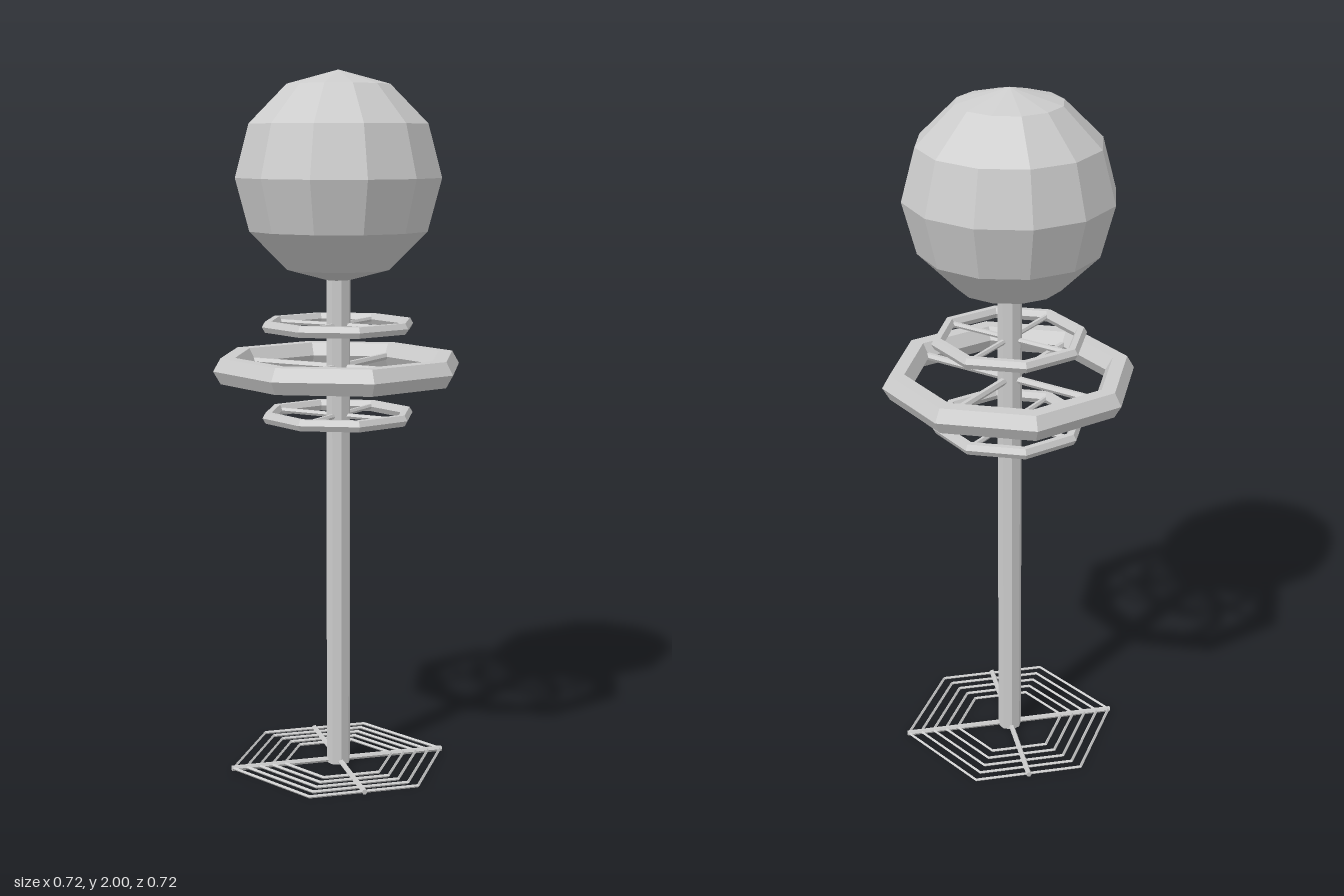
import * as THREE from 'three';

export function createModel() {
  const model = new THREE.Group();
  const material = new THREE.MeshStandardMaterial({ color: 0xcccccc, flatShading: true });

  function add(name, geometry, y, parent = model) {
    const mesh = new THREE.Mesh(geometry, material);
    mesh.name = name;
    mesh.position.y = y;
    parent.add(mesh);
    return mesh;
  }

  // Horizontal faceted ring with a corner on the x axis
  function ring(radius, tube, tubeSides, corners) {
    return new THREE.TorusGeometry(radius, tube, tubeSides, corners).rotateX(-Math.PI / 2);
  }

  // Two crossed horizontal bars of given half lengths
  function crossBars(group, name, y, thickness, halfLengths, turn) {
    halfLengths.forEach((half, i) => {
      const bar = new THREE.CylinderGeometry(thickness, thickness, half * 2, 6).rotateZ(Math.PI / 2);
      add(name, bar, y, group).rotation.y = turn + i * Math.PI / 2;
    });
  }

  // Post and globe
  add('post', new THREE.CylinderGeometry(0.035, 0.035, 1.45, 8), 0.725);
  add('globe', new THREE.SphereGeometry(0.295, 12, 6), 1.705);

  // Octagonal rings, each held to the post by diagonal spokes
  const rings = [
    ['lowerRing', 1.033, 0.204, 0.018, 0.008],
    ['mainRing', 1.171, 0.32, 0.042, 0.011],
    ['upperRing', 1.291, 0.204, 0.018, 0.008],
  ];
  for (const [name, y, radius, tube, spoke] of rings) {
    const group = new THREE.Group();
    group.name = name;
    add('hoop', ring(radius, tube, 6, 8), y, group);
    crossBars(group, 'spoke', y, spoke, [radius, radius], Math.PI / 4);
    model.add(group);
  }

  // Base: concentric hexagonal wires on two crossed bars
  const base = new THREE.Group();
  base.name = 'base';
  for (let i = 0; i < 5; i++) {
    add('baseWire', ring(0.316 - i * 0.038, 0.005, 4, 6), 0.008, base);
  }
  crossBars(base, 'baseBar', 0.008, 0.008, [0.32, 0.28], 0);
  model.add(base);

  return model;
}
